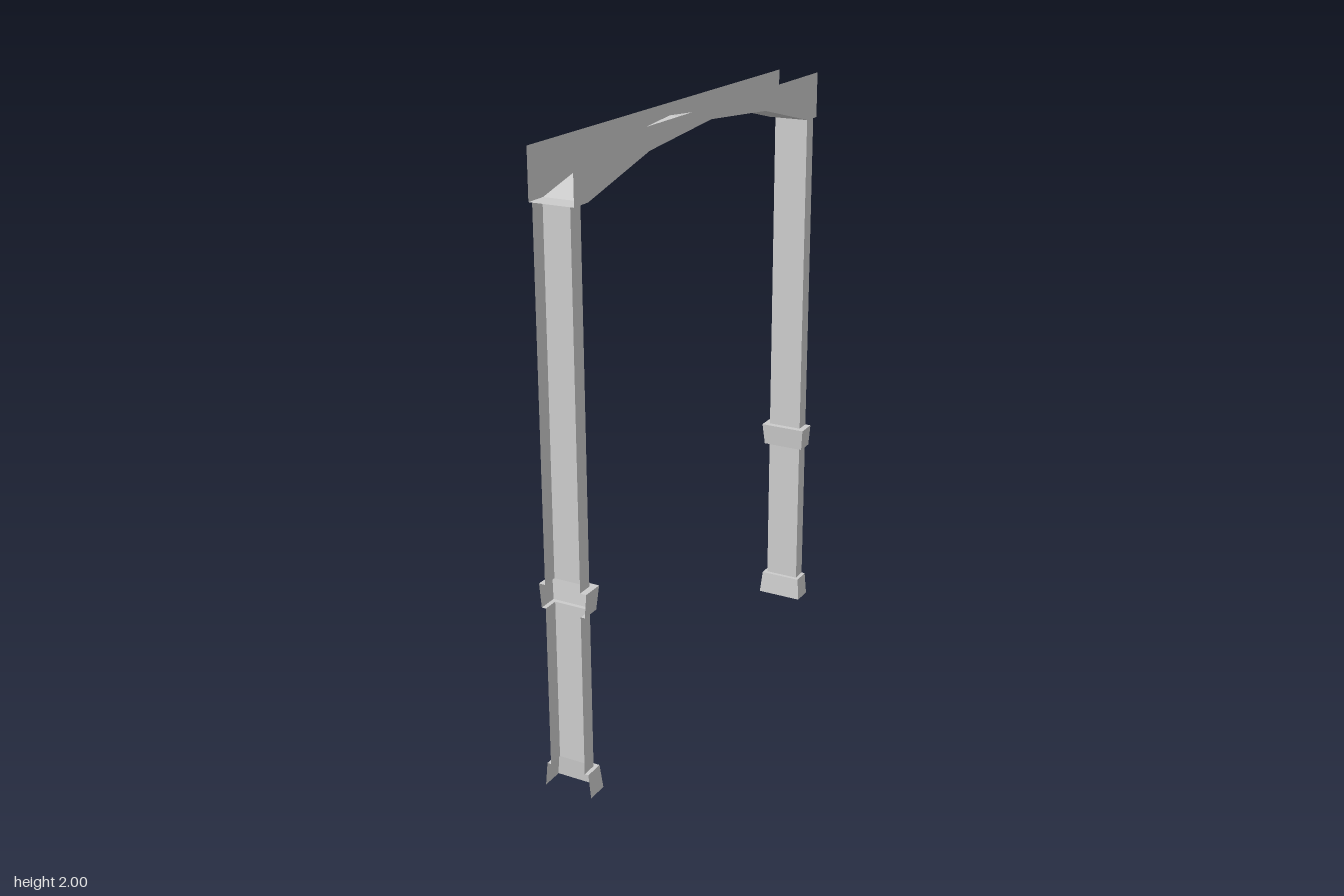
import * as THREE from 'three';

const material = new THREE.MeshStandardMaterial({
  color: 0xcccccc, flatShading: true, side: THREE.DoubleSide,
});

const END = 0.803; // outer z of posts and beam
const BEAM_HALF = 0.073; // half width of beam

// Joins open rows of [x, y, z] points with flat quads.
function loftRows(rows) {
  const pos = [];
  for (let i = 0; i < rows.length - 1; i++) {
    for (let j = 0; j < rows[i].length - 1; j++) {
      const a = rows[i][j], b = rows[i][j + 1];
      const c = rows[i + 1][j + 1], d = rows[i + 1][j];
      pos.push(...a, ...b, ...c, ...a, ...c, ...d);
    }
  }
  const g = new THREE.BufferGeometry();
  g.setAttribute('position', new THREE.Float32BufferAttribute(pos, 3));
  g.computeVertexNormals();
  return g;
}

function addMesh(parent, geometry, name) {
  const mesh = new THREE.Mesh(geometry, material);
  mesh.name = name;
  parent.add(mesh);
  return mesh;
}

// U-shaped cross-section, open on the outer side.
const channel = ([half, inner, y]) => [
  [half, y, END], [half, y, inner], [-half, y, inner], [-half, y, END],
];

function createPost(name) {
  const post = new THREE.Group();
  post.name = name;
  const shaft = (y) => [0.061, 0.751, y];
  // Each section: [half width, inner z, height]
  const sections = {
    base: [[0.082, 0.73, 0], [0.074, 0.737, 0.08], shaft(0.08)],
    lowerShaft: [shaft(0.08), shaft(0.615)],
    collar: [shaft(0.615), [0.075, 0.738, 0.615], [0.082, 0.73, 0.693], shaft(0.693)],
    upperShaft: [shaft(0.693), shaft(1.845)],
  };
  for (const [part, rings] of Object.entries(sections)) {
    addMesh(post, loftRows(rings.map(channel)), part);
  }
  return post;
}

function createBeam() {
  const beam = new THREE.Group();
  beam.name = 'archedBeam';
  // Underside of the arch as [z, y], mirrored about the middle
  const half = [[END, 1.845], [0.73, 1.845], [0.387, 1.928]];
  const arch = [...half, [0, 1.96], ...half.map(([z, y]) => [-z, y]).reverse()];

  addMesh(beam, loftRows(arch.map(([z, y]) => [[BEAM_HALF, y, z], [-BEAM_HALF, y, z]])), 'archUnderside');

  // Thin upright plates along both sides
  const outline = [...arch, [-END, 2], [END, 2]];
  const plate = new THREE.Shape(outline.map(([z, y]) => new THREE.Vector2(z, y)));
  for (const side of [1, -1]) {
    const g = new THREE.ShapeGeometry(plate).rotateY(side * Math.PI / 2);
    addMesh(beam, g, side > 0 ? 'leftPlate' : 'rightPlate').position.x = side * BEAM_HALF;
  }
  return beam;
}

export function createModel() {
  const model = new THREE.Group();
  model.name = 'archFrame';
  const backPost = createPost('backPost');
  backPost.rotation.y = Math.PI;
  model.add(createPost('frontPost'), backPost, createBeam());
  return model;
}
